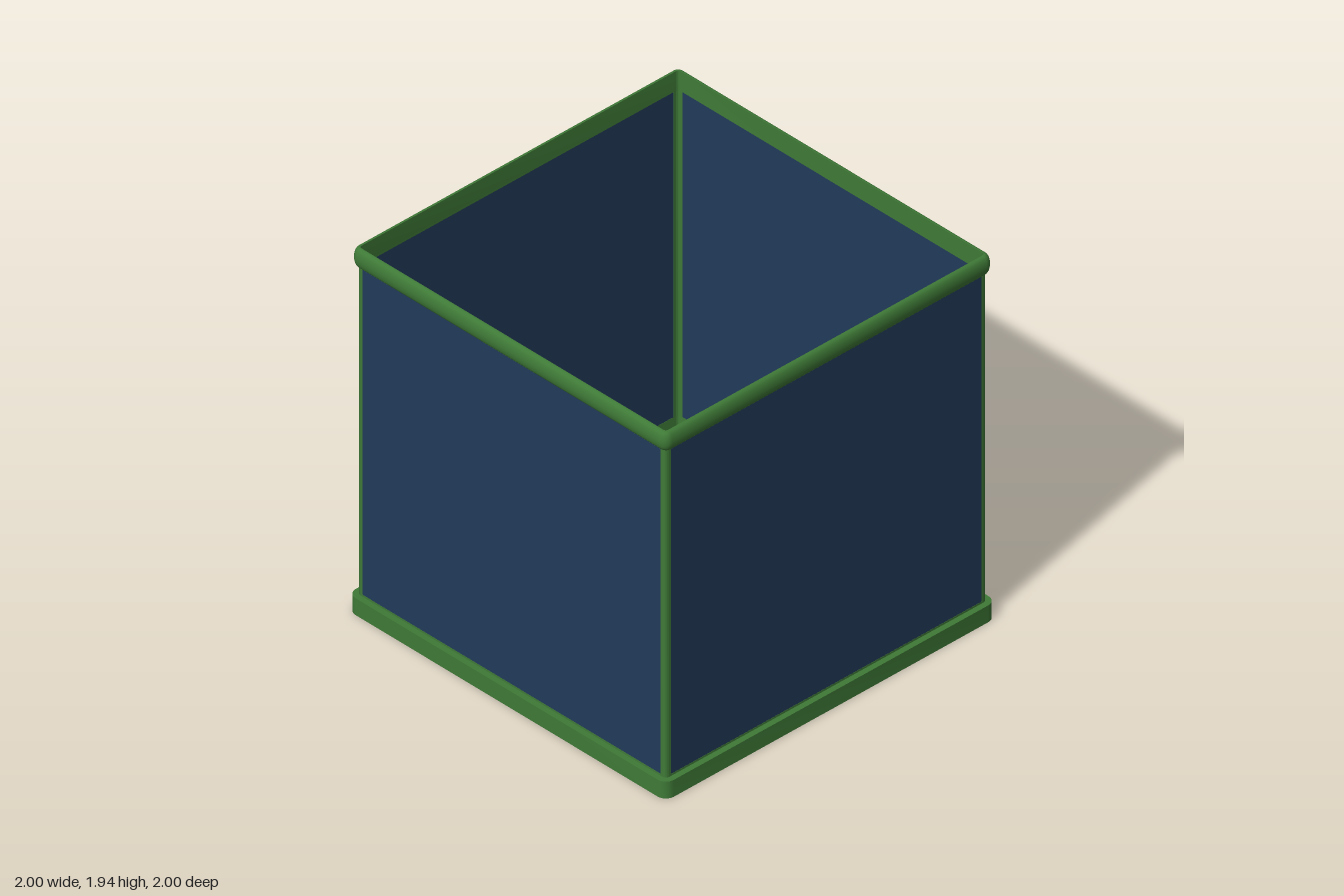
import * as THREE from 'three';
import { toCreasedNormals } from 'three/addons/utils/BufferGeometryUtils.js';

const C = 0.95; // centre of the rounded corners

// Sweeps a closed profile of [distance from axis, height], counter-clockwise, round a rounded square
function squareRing(profile, steps = 6) {
  const pos = [], index = [], n = profile.length;
  const corners = [[1, 1], [-1, 1], [-1, -1], [1, -1]];
  corners.forEach(([sx, sz], k) => {
    for (let i = 0; i <= steps; i++) {
      const a = (k + i / steps) * Math.PI / 2;
      for (const [d, y] of profile) {
        pos.push(sx * C + Math.cos(a) * (d - C), y, sz * C + Math.sin(a) * (d - C));
      }
    }
  });
  const m = 4 * (steps + 1);
  for (let i = 0; i < m; i++) {
    for (let j = 0; j < n; j++) {
      const i2 = (i + 1) % m, j2 = (j + 1) % n;
      const a = i * n + j, b = i * n + j2, c = i2 * n + j2, d = i2 * n + j;
      index.push(a, b, c, a, c, d);
    }
  }
  const g = new THREE.BufferGeometry();
  g.setAttribute('position', new THREE.Float32BufferAttribute(pos, 3));
  g.setIndex(index);
  return toCreasedNormals(g, 0.7);
}

// Thin corner strip bent round a quarter circle
function postGeometry() {
  const s = new THREE.Shape();
  s.moveTo(0.97, 0.938);
  s.lineTo(0.97, C);
  s.absarc(C, C, 0.02, 0, Math.PI / 2, false);
  s.lineTo(0.938, 0.97);
  s.lineTo(0.938, 0.964);
  s.lineTo(C, 0.964);
  s.absarc(C, C, 0.014, Math.PI / 2, 0, true);
  s.lineTo(0.964, 0.938);
  const g = new THREE.ExtrudeGeometry(s, { depth: 1.78, bevelEnabled: false, curveSegments: 6 });
  g.rotateX(-Math.PI / 2).translate(0, 0.08, 0);
  return toCreasedNormals(g, 0.7);
}

export function createModel() {
  const model = new THREE.Group();
  const green = new THREE.MeshStandardMaterial({ color: 0x3f7a37 });
  const blue = new THREE.MeshStandardMaterial({ color: 0x223a5a });
  const add = (name, geometry, material) => {
    const mesh = new THREE.Mesh(geometry, material);
    mesh.name = name;
    model.add(mesh);
    return mesh;
  };

  // Square base band, wider than the walls
  add('baseBand', squareRing([[0.964, 0], [1, 0], [1, 0.09], [0.964, 0.09]]), green);

  // Rim with a rounded outer bead
  const rim = [[0.964, 1.84]];
  for (let i = 0; i <= 10; i++) {
    const a = (i / 10 - 0.5) * Math.PI;
    rim.push([0.97 + 0.023 * Math.cos(a), 1.89 + 0.05 * Math.sin(a)]);
  }
  rim.push([0.964, 1.94]);
  add('rim', squareRing(rim), green);

  // Narrow frame strips where the panels meet base and rim
  for (const [name, y0, y1] of [['lowerTrim', 0.085, 0.1], ['upperTrim', 1.835, 1.845]]) {
    add(name, squareRing([[0.964, y0], [0.97, y0], [0.97, y1], [0.964, y1]]), green);
  }

  // Four wall panels and four corner posts
  const panel = new THREE.BoxGeometry(1.88, 1.76, 0.004).translate(0, 0.97, 0.967);
  const post = postGeometry();
  for (let i = 0; i < 4; i++) {
    add('wallPanel', panel, blue).rotation.y = i * Math.PI / 2;
    add('cornerPost', post, green).rotation.y = i * Math.PI / 2;
  }
  return model;
}
